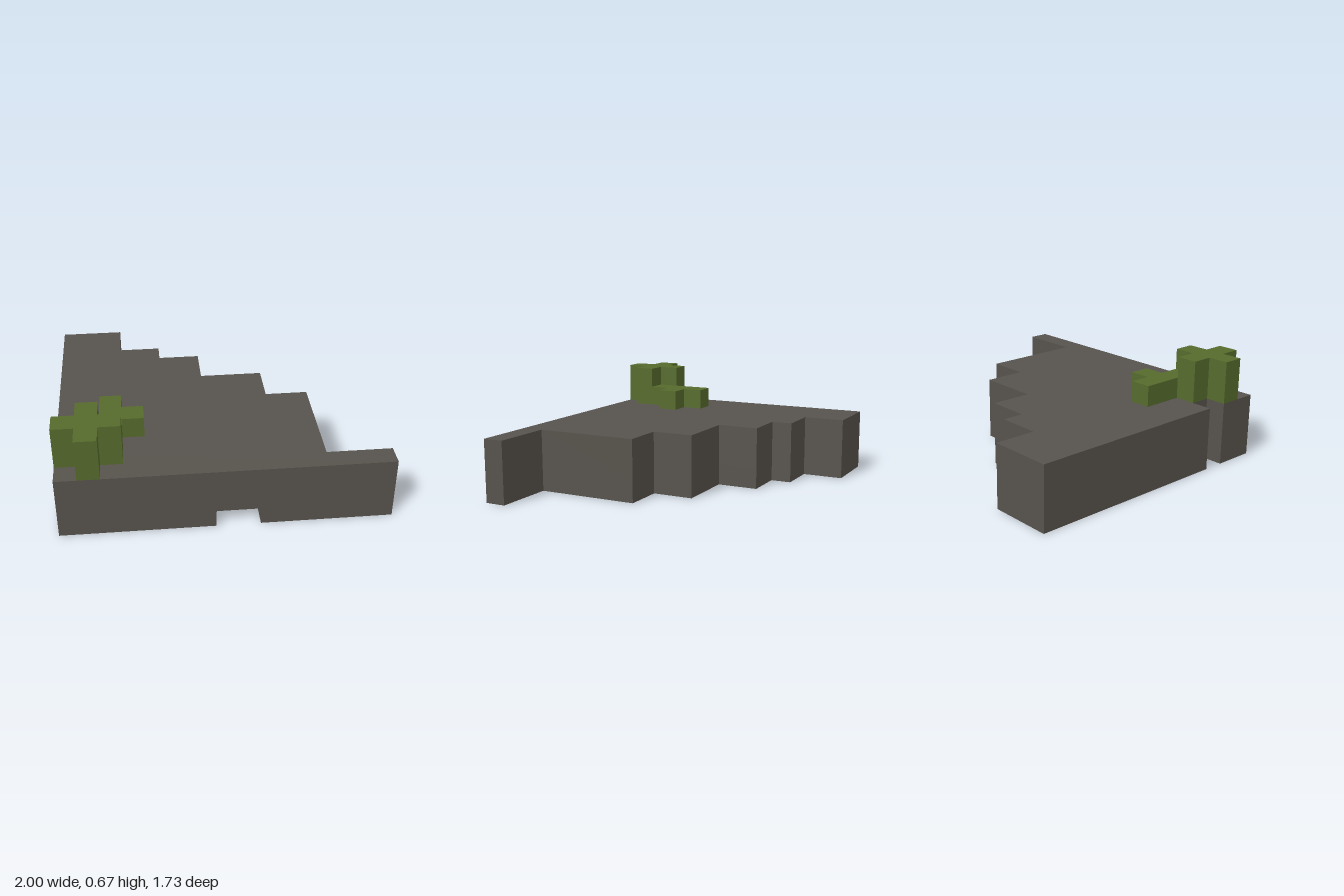
import * as THREE from 'three';

const UNIT = 2 / 15; // one grid cell

const stone = new THREE.MeshStandardMaterial({ color: 0x57534d });
stone.name = 'stone grey';
const leaf = new THREE.MeshStandardMaterial({ color: 0x566b2c });
leaf.name = 'leaf green';

// Upright prism from a plan outline of [x, z] cells, between two heights in cells
function prism(name, outline, bottom, top, material) {
  const shape = new THREE.Shape(outline.map(([x, z]) => new THREE.Vector2(x - 7.5, z - 6.5)));
  const geometry = new THREE.ExtrudeGeometry(shape, { depth: top - bottom, bevelEnabled: false });
  geometry.rotateX(Math.PI / 2);
  geometry.translate(0, top, 0);
  geometry.scale(UNIT, UNIT, UNIT);
  const mesh = new THREE.Mesh(geometry, material);
  mesh.name = name;
  return mesh;
}

export function createModel() {
  const group = new THREE.Group();
  group.name = 'steppedLedge';

  // Stepped back edge, then the straight front, then the notch in the right side
  const steps = [
    [0, 0], [3, 0], [3, 2], [5, 2], [5, 3], [7, 3], [7, 5],
    [10, 5], [10, 7], [12, 7], [12, 12], [15, 12], [15, 13],
  ];
  const sideNotch = [[0, 13], [0, 11], [1, 11], [1, 10], [0, 10]];
  // Low recess in the front, only in the bottom layer
  const frontRecess = [[9, 13], [9, 12], [7, 12], [7, 13]];

  group.add(prism('ledgeBase', [...steps, ...frontRecess, ...sideNotch], 0, 1, stone));
  group.add(prism('ledgeTop', [...steps, ...sideNotch], 1, 3, stone));

  // Tall cross-shaped bush
  group.add(prism('tallBush', [
    [1, 10], [2, 10], [2, 11], [3, 11], [3, 12], [2, 12],
    [2, 13], [1, 13], [1, 12], [0, 12], [0, 11], [1, 11],
  ], 3, 5, leaf));

  // Low T-shaped bush
  group.add(prism('lowBush', [
    [2, 8], [3, 8], [3, 9], [4, 9], [4, 10], [3, 10], [3, 11], [2, 11],
  ], 3, 4, leaf));

  return group;
}
